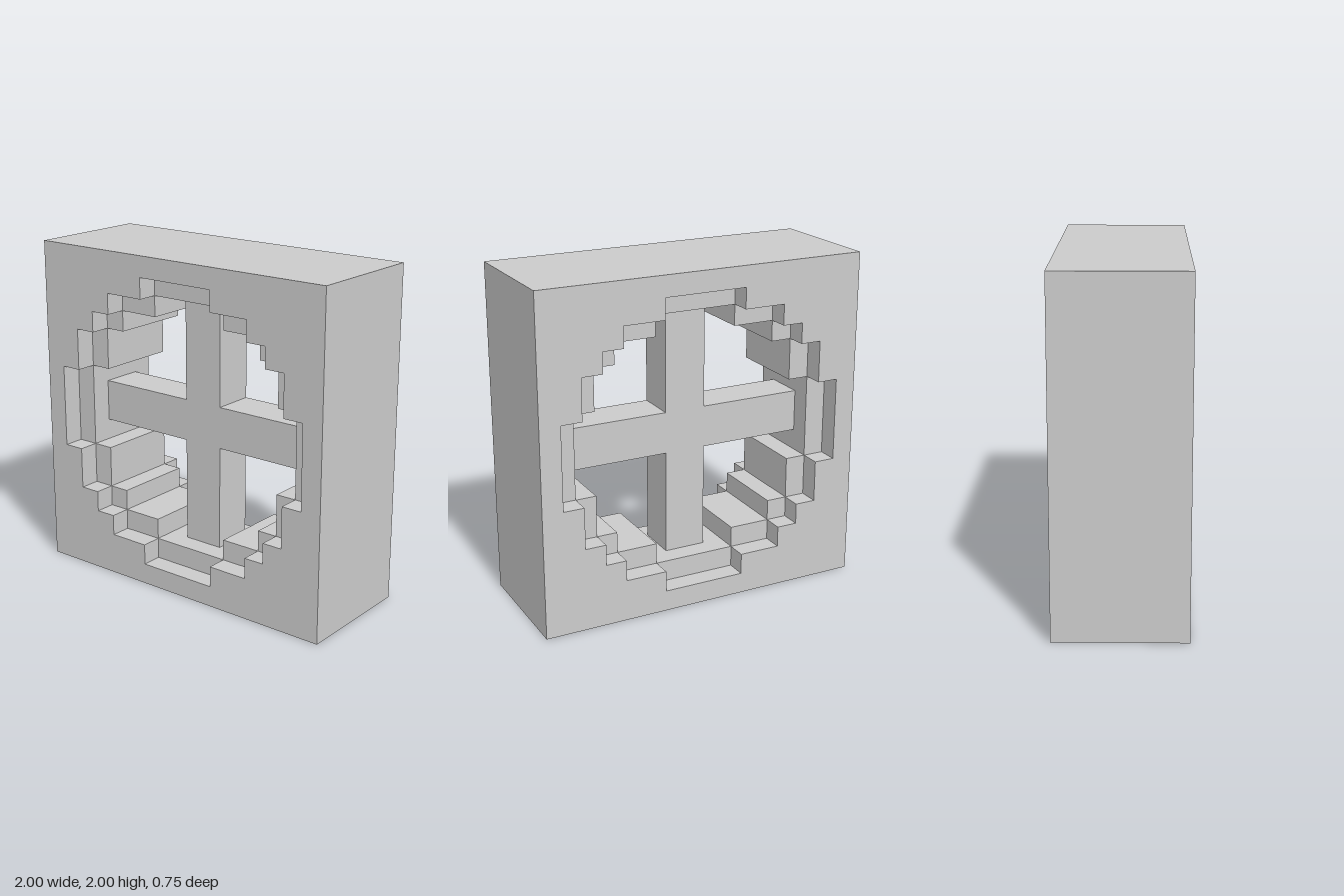
import * as THREE from 'three';

const U = 0.125; // one step of the stair pattern

// Stepped circle outlines: corners of the first quadrant, in steps
const WIDE = [[7, 2], [6, 2], [6, 4], [5, 4], [5, 5], [4, 5], [4, 6], [2, 6], [2, 7]];
const NARROW = [[6, 2], [5, 2], [5, 4], [4, 4], [4, 5], [2, 5], [2, 6]];
const CROSS = [[6, 1], [1, 1], [1, 6]];
const SQUARE = [[8, 8]];

// Mirror a first-quadrant outline into a full counter-clockwise loop
function outline(quarter) {
  const back = [...quarter].reverse();
  return [
    ...quarter,
    ...back.map(([x, y]) => [-x, y]),
    ...quarter.map(([x, y]) => [-x, -y]),
    ...back.map(([x, y]) => [x, -y]),
  ].map(([x, y]) => new THREE.Vector2(x * U, y * U + 1));
}

export function createModel() {
  const group = new THREE.Group();
  const material = new THREE.MeshStandardMaterial({ color: 0xcccccc, flatShading: true });

  // Extrude an outline between two depths, optionally with a hole
  function addSlab(name, quarter, hole, z0, z1) {
    const shape = new THREE.Shape(outline(quarter));
    if (hole) shape.holes.push(new THREE.Path(outline(hole)));
    const geometry = new THREE.ExtrudeGeometry(shape, { depth: (z1 - z0) * U, bevelEnabled: false });
    geometry.translate(0, 0, z0 * U);
    const mesh = new THREE.Mesh(geometry, material);
    mesh.name = name;
    group.add(mesh);
  }

  // Frame: a core with the narrow opening between two rims with the wide one
  addSlab('frontRim', SQUARE, WIDE, 2, 3);
  addSlab('frameCore', SQUARE, NARROW, -2, 2);
  addSlab('backRim', SQUARE, WIDE, -3, -2);

  // Cross bars set in the middle of the opening
  addSlab('crossBars', CROSS, null, -1, 1);

  return group;
}
